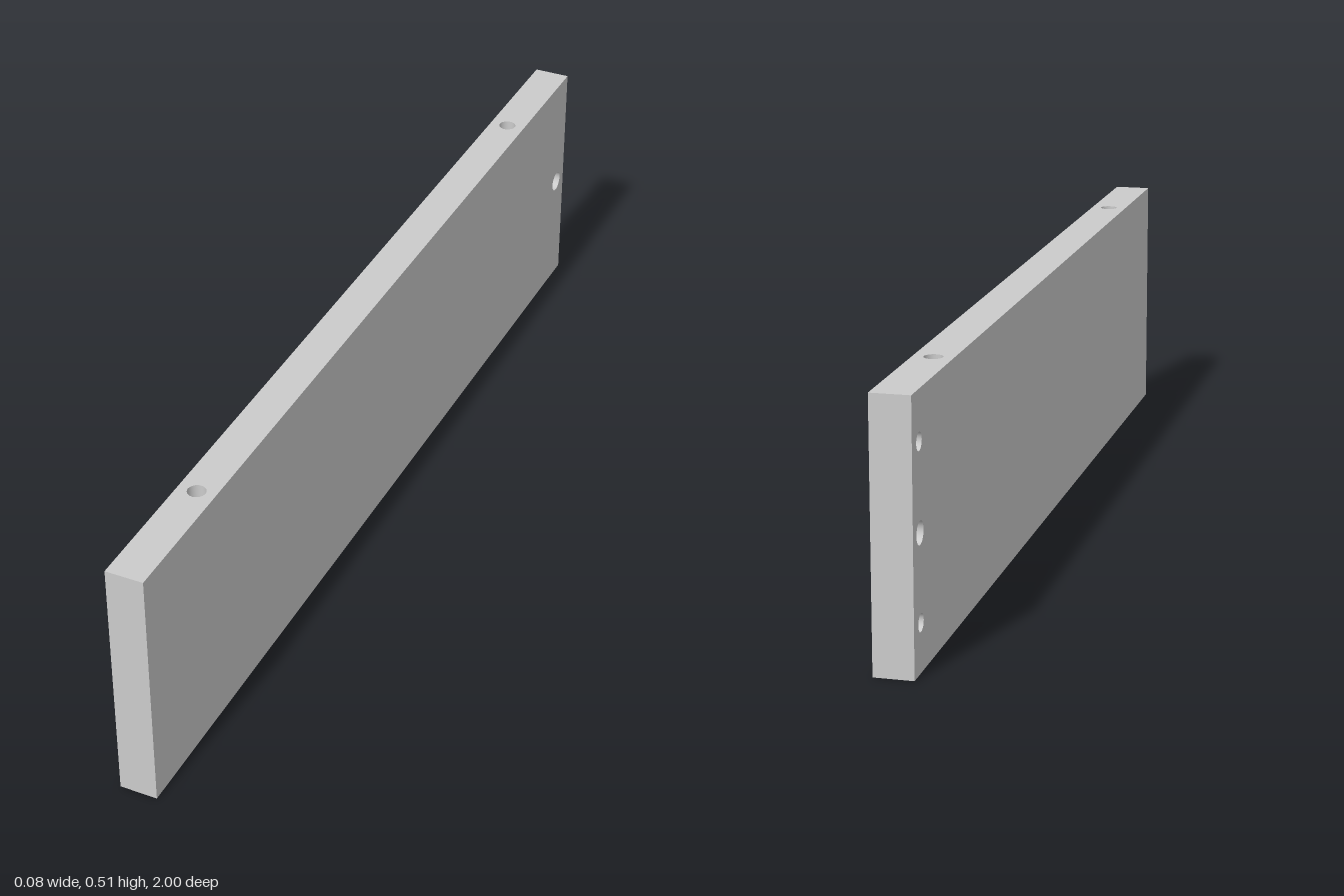
import * as THREE from 'three';

const T = 0.076, H = 0.51, L = 2;   // board thickness, height, length
const SEG = 24;                     // sides of every drilled hole

const grey = new THREE.MeshStandardMaterial({ color: 0xcccccc });
const boreGrey = new THREE.MeshStandardMaterial({ color: 0xcccccc, side: THREE.BackSide });

function addMesh(parent, name, geometry, material = grey) {
  const mesh = new THREE.Mesh(geometry, material);
  mesh.name = name;
  parent.add(mesh);
  return mesh;
}

// One flat side of the board, facing local +z, with its drilled holes.
// A hole with no depth only opens the surface; a through hole has no floor.
function boardSide(name, w, h, holes = []) {
  const side = new THREE.Group();
  side.name = name;

  const shape = new THREE.Shape([
    new THREE.Vector2(-w / 2, -h / 2), new THREE.Vector2(w / 2, -h / 2),
    new THREE.Vector2(w / 2, h / 2), new THREE.Vector2(-w / 2, h / 2),
  ]);
  for (const { x, y, r, depth = 0, through = false } of holes) {
    shape.holes.push(new THREE.Path().absarc(x, y, r, 0, Math.PI * 2, true));
    if (!depth) continue;
    const wall = new THREE.CylinderGeometry(r, r, depth, SEG, 1, true);
    wall.rotateX(Math.PI / 2).translate(x, y, -depth / 2);
    addMesh(side, 'holeWall', wall, boreGrey);
    if (!through) {
      addMesh(side, 'holeFloor', new THREE.CircleGeometry(r, SEG).translate(x, y, -depth));
    }
  }
  addMesh(side, name + 'Surface', new THREE.ShapeGeometry(shape, SEG / 2));
  return side;
}

export function createModel() {
  const board = new THREE.Group();
  board.name = 'drilledBoard';

  const place = (side, position, rx, ry) => {
    side.position.set(...position);
    side.rotation.set(rx, ry, 0);
    board.add(side);
  };
  const Q = Math.PI / 2, mid = H / 2, endHole = 0.957;

  // Broad sides: a through hole near the back end, blind dowel holes on the right only
  const dowels = [-0.163, 0.163].map((y) => ({ x: -endHole, y, r: 0.017, depth: 0.05 }));
  place(boardSide('leftSide', L, H, [{ x: endHole, y: 0, r: 0.022 }]), [T / 2, mid, 0], 0, Q);
  place(boardSide('rightSide', L, H,
    [{ x: -endHole, y: 0, r: 0.022, depth: T, through: true }, ...dowels]), [-T / 2, mid, 0], 0, -Q);

  // Long edges: two blind dowel holes each
  const edgeHoles = [-0.732, 0.732].map((y) => ({ x: 0, y, r: 0.018, depth: 0.1 }));
  place(boardSide('topEdge', T, L, edgeHoles), [0, H, 0], -Q, 0);
  place(boardSide('bottomEdge', T, L, edgeHoles), [0, 0, 0], Q, 0);

  // Plain ends
  place(boardSide('frontEnd', T, H), [0, mid, L / 2], 0, 0);
  place(boardSide('backEnd', T, H), [0, mid, -L / 2], 0, Math.PI);

  return board;
}
